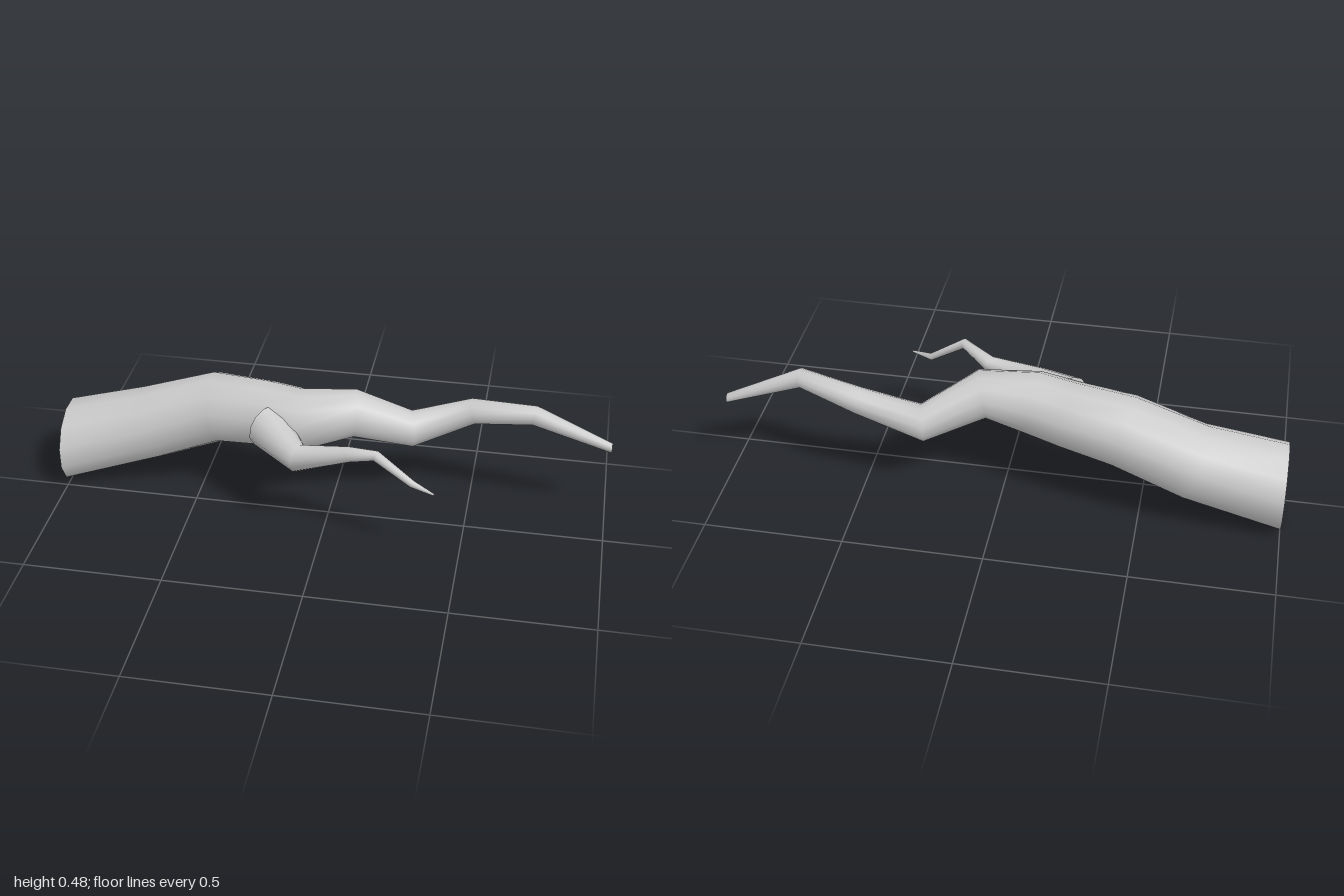
import * as THREE from 'three';

const SIDES = 12;

// Tapered limb: one ring per node [x, y, z, radius], mitred at each bend, with flat end caps.
function limb(name, nodes, startDir, endDir, material) {
  const points = nodes.map(([x, y, z]) => new THREE.Vector3(x, y, z));
  const last = points.length - 1;
  const up = new THREE.Vector3(0, 1, 0);
  const step = (i) => points[i + 1].clone().sub(points[i]).normalize();
  const positions = [], index = [];

  const rings = points.map((p, i) => {
    const t = i === 0 ? startDir.clone().normalize()
      : i === last ? endDir.clone().normalize()
      : step(i - 1).add(step(i)).normalize();
    const v = up.clone().addScaledVector(t, -t.y).normalize();
    const u = v.clone().cross(t);
    return Array.from({ length: SIDES }, (_, j) => {
      const a = ((j + 0.5) / SIDES) * Math.PI * 2;
      return p.clone()
        .addScaledVector(u, nodes[i][3] * Math.cos(a))
        .addScaledVector(v, nodes[i][3] * Math.sin(a));
    });
  });

  // Bark, smooth around the limb
  rings.forEach((ring) => ring.forEach((p) => positions.push(p.x, p.y, p.z)));
  for (let i = 0; i < last; i++) {
    for (let j = 0; j < SIDES; j++) {
      const k = (j + 1) % SIDES;
      const a = i * SIDES + j, b = i * SIDES + k;
      index.push(a, b, a + SIDES, b, b + SIDES, a + SIDES);
    }
  }

  // Caps with their own vertices, so the cut edges stay sharp
  for (const [i, flip] of [[0, true], [last, false]]) {
    const base = positions.length / 3;
    [points[i], ...rings[i]].forEach((p) => positions.push(p.x, p.y, p.z));
    for (let j = 0; j < SIDES; j++) {
      const a = base + 1 + j, b = base + 1 + ((j + 1) % SIDES);
      index.push(base, flip ? b : a, flip ? a : b);
    }
  }

  const geometry = new THREE.BufferGeometry();
  geometry.setAttribute('position', new THREE.Float32BufferAttribute(positions, 3));
  geometry.setIndex(index);
  geometry.computeVertexNormals();
  const mesh = new THREE.Mesh(geometry, material);
  mesh.name = name;
  return mesh;
}

export function createModel() {
  const group = new THREE.Group();
  group.name = 'treeBranch';
  const material = new THREE.MeshStandardMaterial({ color: 0xcccccc });
  const along = new THREE.Vector3(1, 0, 0);

  // Main bough, thick cut end at -x, thin tip at +x
  group.add(limb('mainBranch', [
    [-1.0, 0.15, -0.1, 0.155],
    [-0.68, 0.24, -0.13, 0.137],
    [-0.43, 0.335, -0.125, 0.13],
    [-0.24, 0.35, -0.09, 0.12],
    [-0.1, 0.36, -0.055, 0.114],
    [0.08, 0.392, -0.08, 0.088],
    [0.28, 0.298, -0.16, 0.068],
    [0.5, 0.382, -0.183, 0.048],
    [0.72, 0.417, -0.135, 0.036],
    [1.0, 0.303, -0.148, 0.018],
  ], along, along, material));

  // Twig growing out of the front of the bough
  group.add(limb('sideBranch', [
    [-0.22, 0.352, -0.005, 0.085],
    [-0.085, 0.318, 0.135, 0.05],
    [0.1, 0.364, 0.147, 0.028],
    [0.2, 0.403, 0.198, 0.019],
    [0.33, 0.315, 0.217, 0.013],
    [0.41, 0.305, 0.254, 0.004],
  ], new THREE.Vector3(0.75, -0.1, 0.65), new THREE.Vector3(0.9, -0.1, 0.4), material));

  return group;
}
